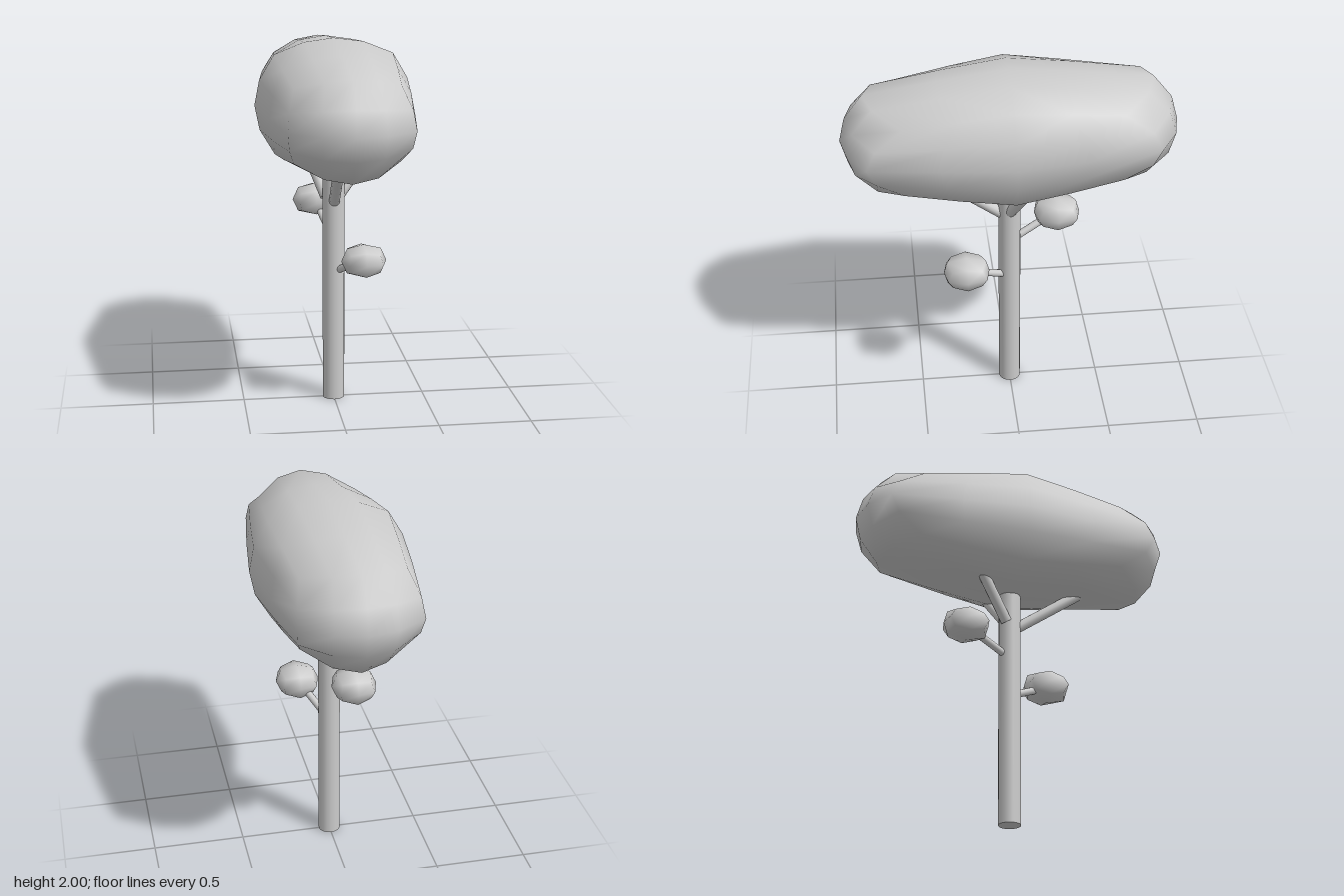
import * as THREE from 'three';
import { mergeVertices } from 'three/addons/utils/BufferGeometryUtils.js';

const material = new THREE.MeshStandardMaterial({ color: 0xcccccc });

// Box rounded into a soft blob; rx, ry, rz are half sizes, zPower shapes the taper along z
function foliage(name, [rx, ry, rz], segments, position, zPower = 2) {
  let geometry = new THREE.BoxGeometry(2, 2, 2, segments, segments, segments);
  geometry.deleteAttribute('uv');
  geometry.deleteAttribute('normal');
  geometry = mergeVertices(geometry);
  const p = geometry.attributes.position;
  for (let i = 0; i < p.count; i++) {
    const x = p.getX(i), y = p.getY(i), z = p.getZ(i);
    const xx = x * x, yy = y * y, zz = Math.abs(z) ** zPower;
    p.setXYZ(i,
      rx * x * (1 - 0.25 * yy - 0.25 * zz + 0.14 * yy * zz),
      ry * y * (1 - 0.24 * xx - 0.27 * zz + 0.05 * xx * zz),
      rz * z * (1 - 0.15 * xx - 0.15 * yy - 0.06 * xx * yy));
  }
  geometry.computeVertexNormals();
  const mesh = new THREE.Mesh(geometry, material);
  mesh.name = name;
  mesh.position.set(...position);
  return mesh;
}

// Round limb between two points
function limb(name, from, to, radius, sides = 12) {
  const a = new THREE.Vector3(...from), b = new THREE.Vector3(...to);
  const direction = b.clone().sub(a);
  const geometry = new THREE.CylinderGeometry(radius, radius, direction.length(), sides);
  const mesh = new THREE.Mesh(geometry, material);
  mesh.name = name;
  mesh.position.copy(a).add(b).multiplyScalar(0.5);
  mesh.quaternion.setFromUnitVectors(new THREE.Vector3(0, 1, 0), direction.normalize());
  return mesh;
}

export function createModel() {
  const tree = new THREE.Group();
  tree.name = 'tree';

  tree.add(limb('trunk', [0, 0, 0], [0, 1.4, 0], 0.06, 16));

  // Long crown, dipping slightly towards the front
  const crown = foliage('crown', [0.42, 0.35, 0.875], 4, [0, 1.65, 0], 1.15);
  crown.rotation.x = 0.02;
  tree.add(crown);

  // Branches carrying the crown
  tree.add(
    limb('frontBranch', [0, 1.12, 0.03], [-0.025, 1.38, 0.41], 0.03),
    limb('leftBranch', [0.03, 1.15, 0], [0.23, 1.4, -0.08], 0.03),
    limb('backBranch', [-0.04, 1.14, -0.03], [-0.14, 1.4, -0.21], 0.03));

  // Twigs with small leaf clusters
  const clusters = [
    { side: 'front', root: [0.02, 0.74, 0.03], tip: [0.13, 0.85, 0.245] },
    { side: 'back', root: [-0.02, 0.95, -0.03], tip: [-0.075, 1.07, -0.265] },
  ];
  for (const { side, root, tip } of clusters) {
    tree.add(limb(side + 'Twig', root, tip, 0.02));
    tree.add(foliage(side + 'LeafCluster', [0.12, 0.088, 0.123], 2, tip));
  }
  return tree;
}
